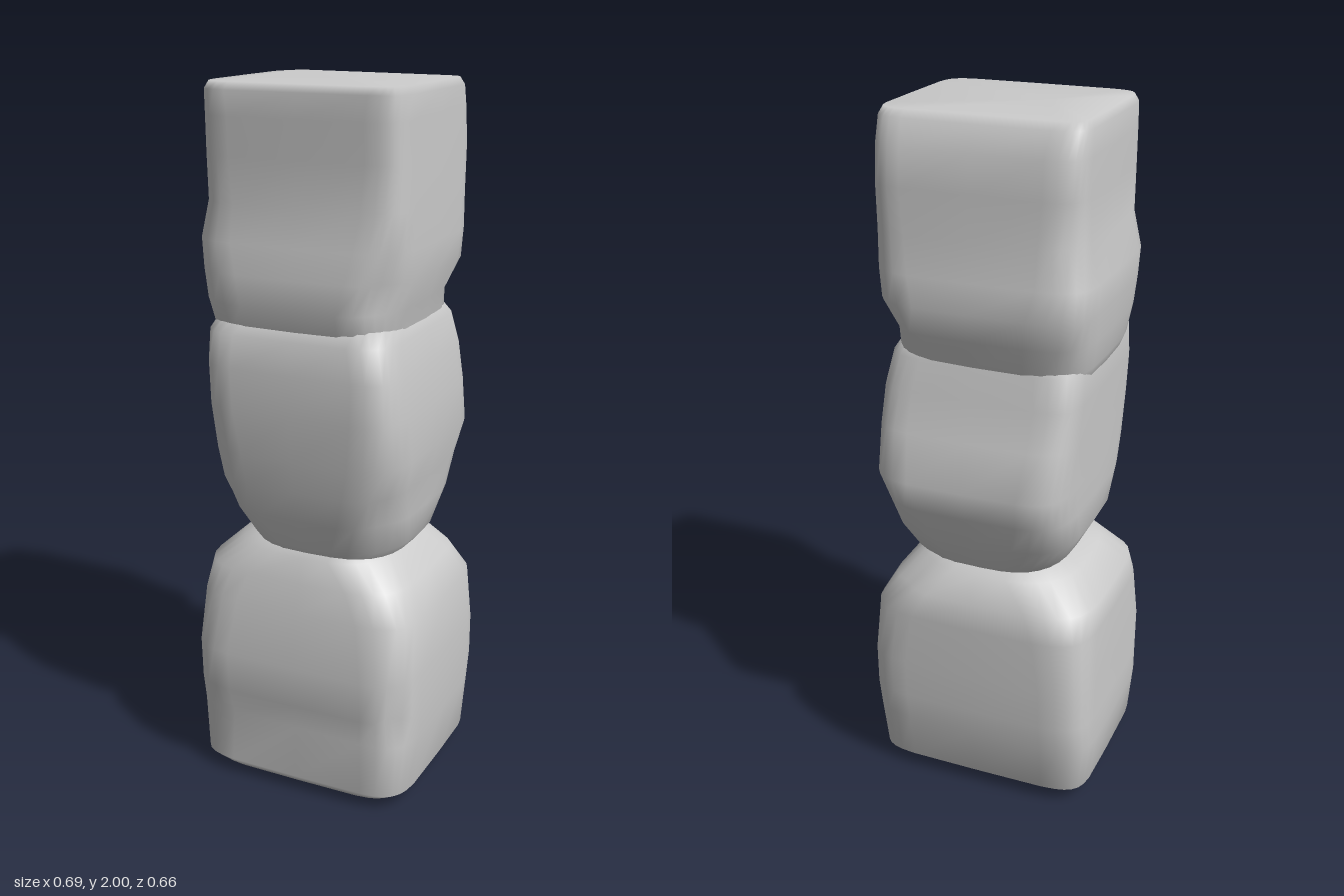
import * as THREE from 'three';

const SEGMENTS = 32;

// Rows: y, left x, right x, back z, front z, squareness (2 = round, higher = boxier)
const STONES = {
  lowerStone: [
    [0.02, -0.29, 0.29, -0.22, 0.29, 7],
    [0.045, -0.33, 0.325, -0.25, 0.31, 7],
    [0.2, -0.35, 0.335, -0.275, 0.31, 6.5],
    [0.28, -0.345, 0.34, -0.283, 0.32, 6.5],
    [0.4, -0.345, 0.34, -0.285, 0.325, 6.5],
    [0.56, -0.34, 0.33, -0.285, 0.3, 5.5],
    [0.64, -0.335, 0.285, -0.28, 0.275, 4.5],
    [0.71, -0.26, 0.225, -0.23, 0.255, 3],
    [0.75, -0.19, 0.18, -0.18, 0.21, 2.6],
  ],
  middleStone: [
    [0.68, -0.18, 0.2, -0.18, 0.22, 2.6],
    [0.74, -0.22, 0.25, -0.22, 0.25, 3],
    [0.83, -0.27, 0.268, -0.27, 0.285, 4],
    [0.92, -0.275, 0.275, -0.3, 0.305, 5],
    [1.01, -0.278, 0.293, -0.328, 0.315, 5.5],
    [1.14, -0.28, 0.29, -0.285, 0.328, 6.5],
    [1.25, -0.285, 0.28, -0.26, 0.32, 7],
    [1.34, -0.285, 0.262, -0.245, 0.31, 6.5],
    [1.39, -0.27, 0.245, -0.22, 0.27, 5],
  ],
  upperStone: [
    [1.27, -0.27, 0.23, -0.22, 0.25, 4],
    [1.34, -0.295, 0.25, -0.245, 0.285, 4.5],
    [1.42, -0.308, 0.262, -0.268, 0.31, 4.5],
    [1.5, -0.315, 0.283, -0.288, 0.305, 5],
    [1.58, -0.318, 0.285, -0.275, 0.29, 6],
    [1.68, -0.295, 0.285, -0.26, 0.27, 7],
    [1.8, -0.293, 0.285, -0.255, 0.27, 8],
    [1.9, -0.293, 0.283, -0.248, 0.272, 8],
    [1.965, -0.29, 0.284, -0.215, 0.272, 9],
    [1.985, -0.28, 0.275, -0.2, 0.262, 9],
  ],
};

// Chips and hollows: angle (degrees from +x toward +z), y, angular width, height width, depth
const DENTS = [
  [45, 0.28, 14, 0.035, 0.04],
  [115, 0.2, 35, 0.04, 0.015],
  [-50, 0.64, 18, 0.06, 0.03],
  [40, 0.86, 20, 0.07, 0.03],
  [45, 1.47, 18, 0.06, 0.04],
  [-30, 1.42, 20, 0.05, 0.02],
  [140, 0.84, 18, 0.07, 0.02],
  [-75, 1.3, 25, 0.06, 0.015],
  [-130, 1.68, 18, 0.08, 0.015],
  [-135, 1.5, 18, 0.07, -0.02],
];

function dentDepth(angle, y) {
  let depth = 0;
  for (const [a, h, wa, wh, d] of DENTS) {
    let da = THREE.MathUtils.radToDeg(angle) - a;
    da = ((da + 540) % 360) - 180;
    depth += d * Math.exp(-((da / wa) ** 2) - ((y - h) / wh) ** 2);
  }
  return depth;
}

// Lofts rounded-square rings into one closed stone
function makeStone(rows, bottomPeak, topPeak) {
  const positions = [];
  const index = [];
  const at = (ring, j) => ring * SEGMENTS + (j % SEGMENTS);

  rows.forEach(([y, left, right, back, front, square]) => {
    for (let j = 0; j < SEGMENTS; j++) {
      const angle = (j / SEGMENTS) * Math.PI * 2;
      const c = Math.cos(angle);
      const s = Math.sin(angle);
      const bend = 2 / square;
      let x = Math.abs(c) ** bend * (c > 0 ? right : left);
      let z = Math.abs(s) ** bend * (s > 0 ? front : back);
      const shrink = 1 - dentDepth(angle, y) / Math.hypot(x, z);
      x *= shrink;
      z *= shrink;
      positions.push(x, y, z);
    }
  });

  for (let i = 0; i < rows.length - 1; i++) {
    for (let j = 0; j < SEGMENTS; j++) {
      const a = at(i, j), b = at(i, j + 1), c = at(i + 1, j), d = at(i + 1, j + 1);
      index.push(a, c, b, b, c, d);
    }
  }

  // Shallow peaked ends
  const last = rows.length - 1;
  const bottom = rows.length * SEGMENTS;
  positions.push(...bottomPeak, ...topPeak);
  for (let j = 0; j < SEGMENTS; j++) {
    index.push(bottom, at(0, j), at(0, j + 1));
    index.push(bottom + 1, at(last, j + 1), at(last, j));
  }

  const geometry = new THREE.BufferGeometry();
  geometry.setAttribute('position', new THREE.Float32BufferAttribute(positions, 3));
  geometry.setIndex(index);
  geometry.computeVertexNormals();
  return geometry;
}

export function createModel() {
  const group = new THREE.Group();
  group.name = 'stonePillar';
  const material = new THREE.MeshStandardMaterial({ color: 0xcccccc });
  const peaks = {
    lowerStone: [[0.16, 0, 0], [0, 0.76, 0]],
    middleStone: [[0, 0.67, 0], [0, 1.4, 0]],
    upperStone: [[0, 1.26, 0], [-0.13, 2, -0.02]],
  };
  for (const [name, rows] of Object.entries(STONES)) {
    const stone = new THREE.Mesh(makeStone(rows, ...peaks[name]), material);
    stone.name = name;
    group.add(stone);
  }
  return group;
}
